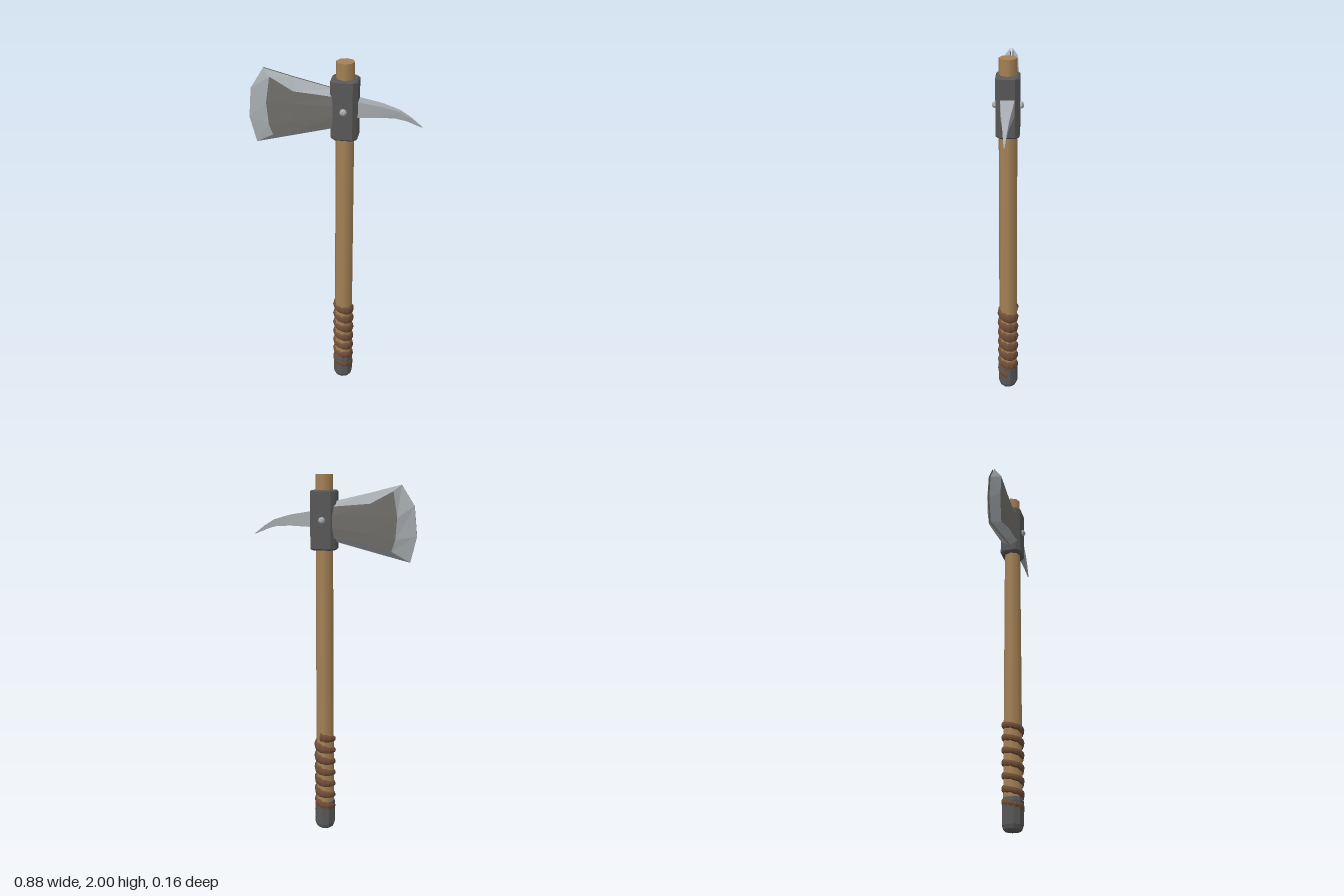
import * as THREE from 'three';

const AXIS = 0.05; // x of the shaft centre line
const mat = (color, flat = true, side = THREE.FrontSide) =>
  new THREE.MeshStandardMaterial({ color, flatShading: flat, side });
const WOOD = 0xa58256, IRON = 0x585858, STEEL = 0xa6abaf, FACE = 0x706e6a, LEATHER = 0x6e4c37;

function add(parent, name, geometry, material, x = 0, y = 0, z = 0) {
  const mesh = new THREE.Mesh(geometry, material);
  mesh.name = name;
  mesh.position.set(x, y, z);
  parent.add(mesh);
  return mesh;
}

// Turns a list of four-cornered faces into a geometry
function quads(list) {
  const pos = [];
  for (const [a, b, c, d] of list) pos.push(...a, ...b, ...c, ...a, ...c, ...d);
  const g = new THREE.BufferGeometry();
  g.setAttribute('position', new THREE.Float32BufferAttribute(pos, 3));
  g.computeVertexNormals();
  return g;
}

// Joins closed rings of points; rings run so that faces look outwards
function loft(rings) {
  const list = [];
  for (let i = 0; i + 1 < rings.length; i++) {
    const n = rings[i].length;
    for (let j = 0; j < n; j++) {
      const k = (j + 1) % n;
      list.push([rings[i][j], rings[i + 1][j], rings[i + 1][k], rings[i][k]]);
    }
  }
  return list;
}

// One half of the blade; sign picks the front or the back
function bladeHalf(sign) {
  const half = new THREE.Group();
  half.name = sign > 0 ? 'bladeFront' : 'bladeBack';
  const gap = 0.005;
  const tipTop = [-0.355, 1.947, gap], tipBottom = [-0.408, 1.552, gap];
  // Columns from the collar out to the cutting edge, each from top to bottom
  const columns = [
    [[0, 1.862, gap], [0, 1.836, 0.046], [0, 1.79, 0.052], [0, 1.73, 0.052], [0, 1.678, 0.046], [0, 1.657, gap]],
    [[-0.2, 1.908, gap], [-0.2, 1.852, 0.046], [-0.2, 1.79, 0.049], [-0.2, 1.695, 0.049], [-0.2, 1.643, 0.046], [-0.2, 1.605, gap]],
    [tipTop, [-0.318, 1.915, 0.036], [-0.34, 1.783, 0.038], [-0.332, 1.67, 0.038], [-0.313, 1.61, 0.036], tipBottom],
    [tipTop, tipTop, [-0.424, 1.84, gap], [-0.44, 1.687, gap], tipBottom, tipBottom],
  ];
  const face = [], bevel = [], inside = [];
  const flat = p => [p[0], p[1], gap];
  const place = q => {
    const r = q.map(p => [p[0], p[1], p[2] * sign]);
    return sign > 0 ? r : r.reverse();
  };
  for (let i = 0; i < 3; i++) {
    for (let j = 0; j < 5; j++) {
      const q = [columns[i][j], columns[i + 1][j], columns[i + 1][j + 1], columns[i][j + 1]];
      (i < 2 && j > 0 && j < 4 ? face : bevel).push(place(q));
      inside.push(place(q.map(flat).reverse()));
    }
  }
  add(half, 'bladeFace', quads(face), mat(FACE));
  add(half, 'bladeBevels', quads(bevel), mat(STEEL));
  add(half, 'bladeInside', quads(inside), mat(FACE));
  return half;
}

// Curved spike of rectangular section, tapering to a point
function spikeGeometry() {
  const sections = [ // top x, top y, bottom x, bottom y, half width
    [0.1, 1.814, 0.1, 1.73, 0.037],
    [0.23, 1.793, 0.22, 1.735, 0.026],
    [0.32, 1.767, 0.3, 1.733, 0.016],
    [0.375, 1.735, 0.355, 1.72, 0.01],
    [0.435, 1.69, 0.432, 1.688, 0.002],
  ];
  const rings = sections.map(([tx, ty, bx, by, w]) =>
    [[tx, ty, w], [tx, ty, -w], [bx, by, -w], [bx, by, w]].reverse());
  const end = rings[rings.length - 1];
  return quads([...loft(rings).map(q => q.reverse()), [...end]]);
}

// Leather strip wound round the shaft, wider on the spike side
function wrapGeometry() {
  const turns = 6.8, steps = 12, y0 = 0.1, y1 = 0.565, rings = [];
  const n = Math.round(turns * steps);
  for (let i = 0; i <= n; i++) {
    const t = i / n, a = t * turns * Math.PI * 2;
    const y = y0 + (y1 - y0) * t;
    const w = 0.027 + 0.008 * Math.cos(a);
    const profile = [[0.044, -w], [0.058, -w * 0.55], [0.061, 0], [0.058, w * 0.55], [0.044, w]];
    rings.push(profile.map(([r, dy]) => [AXIS + r * Math.cos(a), y + dy, r * Math.sin(a)]));
  }
  return quads(loft(rings));
}

export function createModel() {
  const model = new THREE.Group();
  model.name = 'hatchet';

  // Wooden shaft
  add(model, 'shaft', new THREE.CylinderGeometry(0.046, 0.052, 1.97, 8), mat(WOOD, false), AXIS, 1.015, 0);

  // Grip and end cap
  add(model, 'gripWrap', wrapGeometry(), mat(LEATHER, true, THREE.DoubleSide));
  const cap = [[0, 0], [0.038, 0], [0.05, 0.01], [0.057, 0.03], [0.057, 0.15], [0.053, 0.168], [0.04, 0.168]];
  add(model, 'endCap', new THREE.LatheGeometry(cap.map(p => new THREE.Vector2(...p)), 10), mat(IRON), AXIS);

  // Collar that holds the head: chamfered block with softened ends
  const b = 0.008, hx = 0.068 - b, hz = 0.06 - b, c = 0.018;
  const outline = new THREE.Shape([
    [hx, -hz + c], [hx, hz - c], [hx - c, hz], [-hx + c, hz],
    [-hx, hz - c], [-hx, -hz + c], [-hx + c, -hz], [hx - c, -hz],
  ].map(p => new THREE.Vector2(...p)));
  const collar = new THREE.ExtrudeGeometry(outline, {
    depth: 0.31 - 2 * b, bevelEnabled: true, bevelSize: b, bevelThickness: b, bevelSegments: 1,
  });
  collar.rotateX(-Math.PI / 2);
  add(model, 'collar', collar, mat(IRON), AXIS, 1.61 + b, 0);

  // Rivet through the collar
  const pin = [[0, -0.078], [0.009, -0.078], [0.018, -0.07], [0.018, 0.07], [0.009, 0.078], [0, 0.078]];
  const rivet = new THREE.LatheGeometry(pin.map(p => new THREE.Vector2(...p)), 8);
  rivet.rotateX(Math.PI / 2);
  add(model, 'rivet', rivet, mat(STEEL), AXIS, 1.766, 0);

  // Blade and spike
  const blade = new THREE.Group();
  blade.name = 'blade';
  blade.add(bladeHalf(1), bladeHalf(-1));
  model.add(blade);
  add(model, 'spike', spikeGeometry(), mat(STEEL, true, THREE.DoubleSide));

  return model;
}
